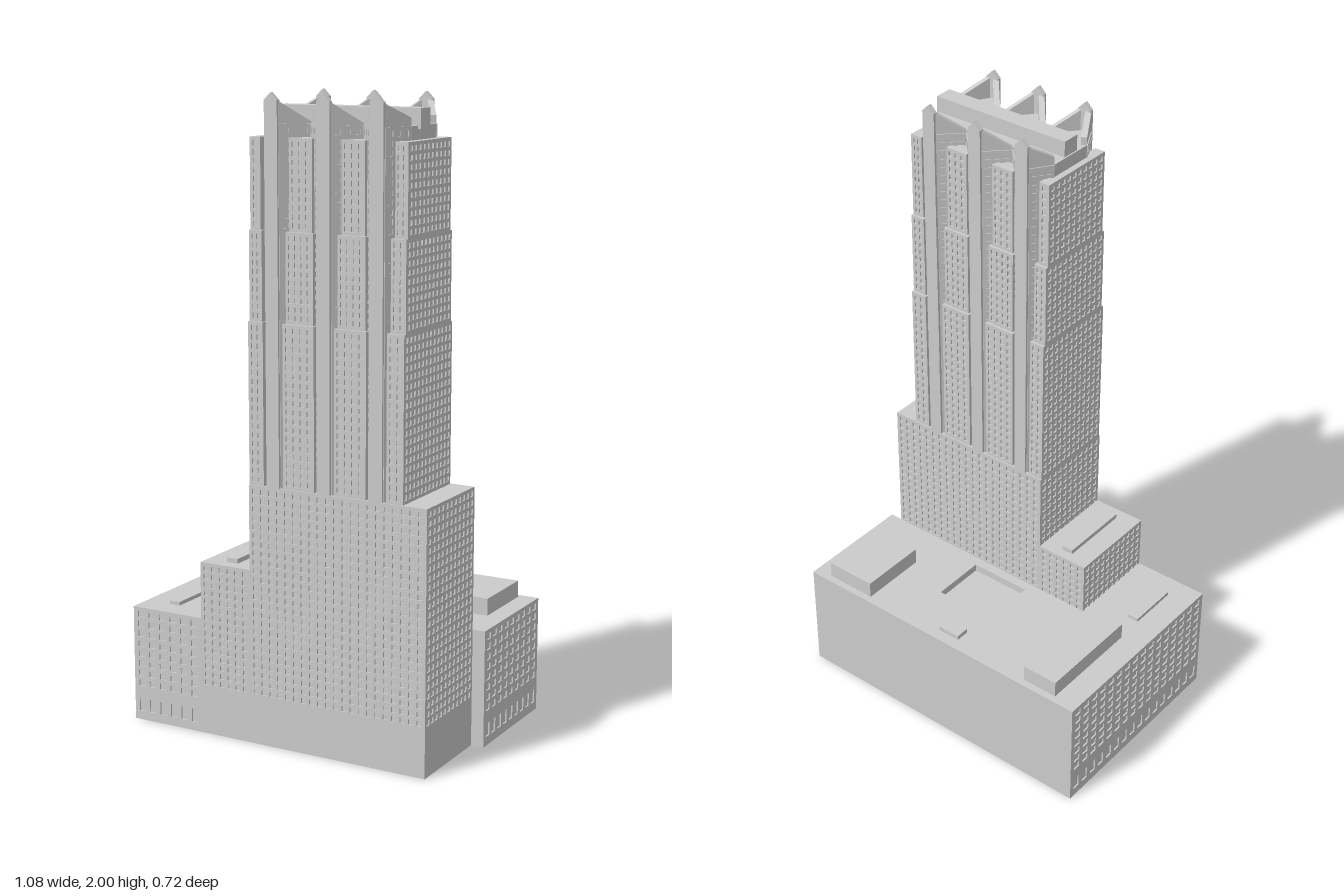
import * as THREE from 'three';
import { mergeGeometries } from 'three/addons/utils/BufferGeometryUtils.js';

const MAT = new THREE.MeshStandardMaterial({ color: 0xcccccc, flatShading: true });
const D = 0.005; // window recess depth

export function createModel() {
  const model = new THREE.Group();
  model.name = 'skyscraper';

  const add = (name, geometry) => {
    const mesh = new THREE.Mesh(geometry, MAT);
    mesh.name = name;
    model.add(mesh);
    return mesh;
  };

  const boxGeo = (x0, x1, y0, y1, z0, z1) =>
    new THREE.BoxGeometry(x1 - x0, y1 - y0, z1 - z0)
      .translate((x0 + x1) / 2, (y0 + y1) / 2, (z0 + z1) / 2);
  const box = (name, ...b) => add(name, boxGeo(...b));

  // Vertical prism over a plan outline of [x, z] points
  const prism = (name, plan, y0, y1, hole) => {
    const toV = ([x, z]) => new THREE.Vector2(x, -z);
    const shape = new THREE.Shape(plan.map(toV));
    if (hole) shape.holes.push(new THREE.Path(hole.map(toV)));
    const g = new THREE.ExtrudeGeometry(shape, { depth: y1 - y0, bevelEnabled: false });
    return add(name, g.rotateX(-Math.PI / 2).translate(0, y0, 0));
  };

  // Places geometry drawn along +x and facing +z onto the plan line a -> b
  const place = (g, a, b) =>
    g.rotateY(Math.atan2(a[1] - b[1], b[0] - a[0])).translate(a[0], 0, a[1]);

  // Lattice of piers and spandrels that leaves recessed windows between them
  const facade = (name, a, b, y0, y1, cols, rows, out = 0) => {
    const L = Math.hypot(b[0] - a[0], b[1] - a[1]), H = y1 - y0;
    const pw = 0.4 * L / (cols + 0.4), sh = 0.4 * H / (rows + 0.4);
    const bars = [];
    for (let i = 0; i <= cols; i++) {
      const x = i * (L - pw) / cols;
      bars.push(boxGeo(x, x + pw, y0, y1, out - 2 * D, out));
    }
    for (let j = 0; j <= rows; j++) {
      const y = y0 + j * (H - sh) / rows;
      bars.push(boxGeo(0, L, y, y + sh, out - 2 * D, out));
    }
    return add(name, place(mergeGeometries(bars), a, b));
  };

  // Box with windows on the chosen sides: f(ront), r(+x), b(ack), l(-x)
  const block = (name, x0, x1, y0, y1, z0, z1, sides, pitch = 0.029, floor = 0.028) => {
    const has = (s) => (sides.includes(s) ? D : 0);
    box(name + 'Core', x0 + has('l'), x1 - has('r'), y0, y1, z0 + has('b'), z1 - has('f'));
    const c = { f: [[x0, z1], [x1, z1]], r: [[x1, z1], [x1, z0]],
      b: [[x1, z0], [x0, z0]], l: [[x0, z0], [x0, z1]] };
    const rows = Math.round((y1 - y0) / floor);
    for (const s of sides) {
      const [a, b] = c[s];
      const len = Math.hypot(b[0] - a[0], b[1] - a[1]);
      facade(name + 'Windows', a, b, y0, y1, Math.max(1, Math.round(len / pitch)), rows);
    }
  };

  // Podium with a sunken roof court
  const F = 0.358, X = 0.542, MID = 0.042;
  const podium = [[-X + D, F - D], [-0.285, F - D], [-0.285, MID], [X - D, MID], [X - D, -F], [-X + D, -F]];
  prism('podium', podium, 0, 0.35);
  prism('podiumRoof', podium, 0.35, 0.375, [[-0.07, -0.173], [0.14, -0.173], [0.14, -0.01 + 0.02], [-0.07, 0.01]]);
  const podiumFaces = [[[-X, F], [-0.285, F], 6], [[X, MID], [X, -F], 9], [[-X, -F], [-X, F], 16]];
  for (const [a, b, cols] of podiumFaces) {
    facade('podiumGroundFloor', a, b, 0, 0.1, cols, 1);
    facade('podiumWindows', a, b, 0.1, 0.375, cols, 8);
  }

  // Rooftop equipment
  box('leftRoofHouse', -0.458, -0.336, 0.37, 0.43, -0.335, 0.017);
  box('rightRoofHouse', 0.306, 0.48, 0.37, 0.43, -0.335, -0.105);
  box('smallRoofVent', -0.055, 0.022, 0.37, 0.39, -0.32, -0.274);
  box('frontRoofVent', -0.455, -0.417, 0.37, 0.387, 0.11, 0.282);
  box('stepRoofVent', -0.212, -0.174, 0.55, 0.572, 0.074, 0.318);

  // Lower tower: plain plinth, low step and main shoulder
  box('plinth', -0.285, 0.5, 0, 0.15, MID, F);
  block('step', -0.285, -0.105, 0.15, 0.557, MID, F, 'fbl');
  block('shoulder', -0.105, 0.5, 0.15, 0.825, MID, F, 'frbl');

  // Zigzag core: pointed bays front and back
  const bays = [-0.02, 0.155, 0.33], half = 0.022;
  const zigzag = (valley, peak) => {
    const pts = [[-0.085, valley]];
    bays.forEach((c, i) => {
      pts.push([c - half, peak], [c + half, peak]);
      pts.push([i < 2 ? (c + bays[i + 1]) / 2 : 0.395, valley]);
    });
    return pts;
  };
  const front = zigzag(0.272, 0.35), back = zigzag(0.115, 0.05).reverse();
  prism('towerCore', [...front, ...back], 0.825, 1.91);

  // Slanted bay walls with windows, topped by sloping fins
  const fin = (a, b, ya, yb) => {
    const L = Math.hypot(b[0] - a[0], b[1] - a[1]);
    const s = new THREE.Shape([[0, 1.88], [L, 1.88], [L, yb], [0, ya]].map((p) => new THREE.Vector2(...p)));
    const g = new THREE.ExtrudeGeometry(s, { depth: 0.018, bevelEnabled: false }).translate(0, 0, -0.018);
    add('crownFin', place(g, a, b));
  };
  for (const line of [front, back]) {
    const low = (p) => (p[0] < -0.08 || p[0] > 0.39 ? 1.935 : 1.915);
    for (let i = 0; i < line.length - 1; i++) {
      if (i % 3 === 1) continue; // the flat bay tip carries a pier
      const a = line[i], b = line[i + 1];
      facade('bayWindows', a, b, 0.825, 1.91, 3, 39, 0.003);
      if (i % 3 === 0) fin(a, b, low(a), 1.976);
      else fin(a, b, 1.976, low(b));
    }
  }

  // Gabled piers running up every bay tip
  for (const c of bays) {
    const s = new THREE.Shape([[c - half, 0.825], [c + half, 0.825], [c + half, 1.978], [c, 2], [c - half, 1.978]]
      .map((p) => new THREE.Vector2(...p)));
    for (const z of [0.343, MID]) {
      add('pier', new THREE.ExtrudeGeometry(s, { depth: 0.015, bevelEnabled: false }).translate(0, 0, z));
    }
  }

  // Window panels between the piers, stepping back and narrowing by tier
  const tiers = [[0.825, 1.325, 0.034, 0], [1.325, 1.597, 0.041, 0.009], [1.597, 1.87, 0.049, 0.018]];
  for (const [y0, y1, gap, inset] of tiers) {
    for (let i = 0; i <= 3; i++) {
      const x0 = i ? bays[i - 1] + gap : -0.105;
      const x1 = i < 3 ? bays[i] - gap : 0.42;
      const sides = i === 0 ? 'fbl' : i === 3 ? 'fbr' : 'fb';
      block('towerPanel', x0, x1, y0, y1, 0.047 + inset, 0.354 - inset, sides, 0.026);
    }
  }

  // Long plant room on the roof
  box('roofBeam', -0.08, 0.404, 1.9, 1.96, 0.17, 0.23);

  return model;
}
